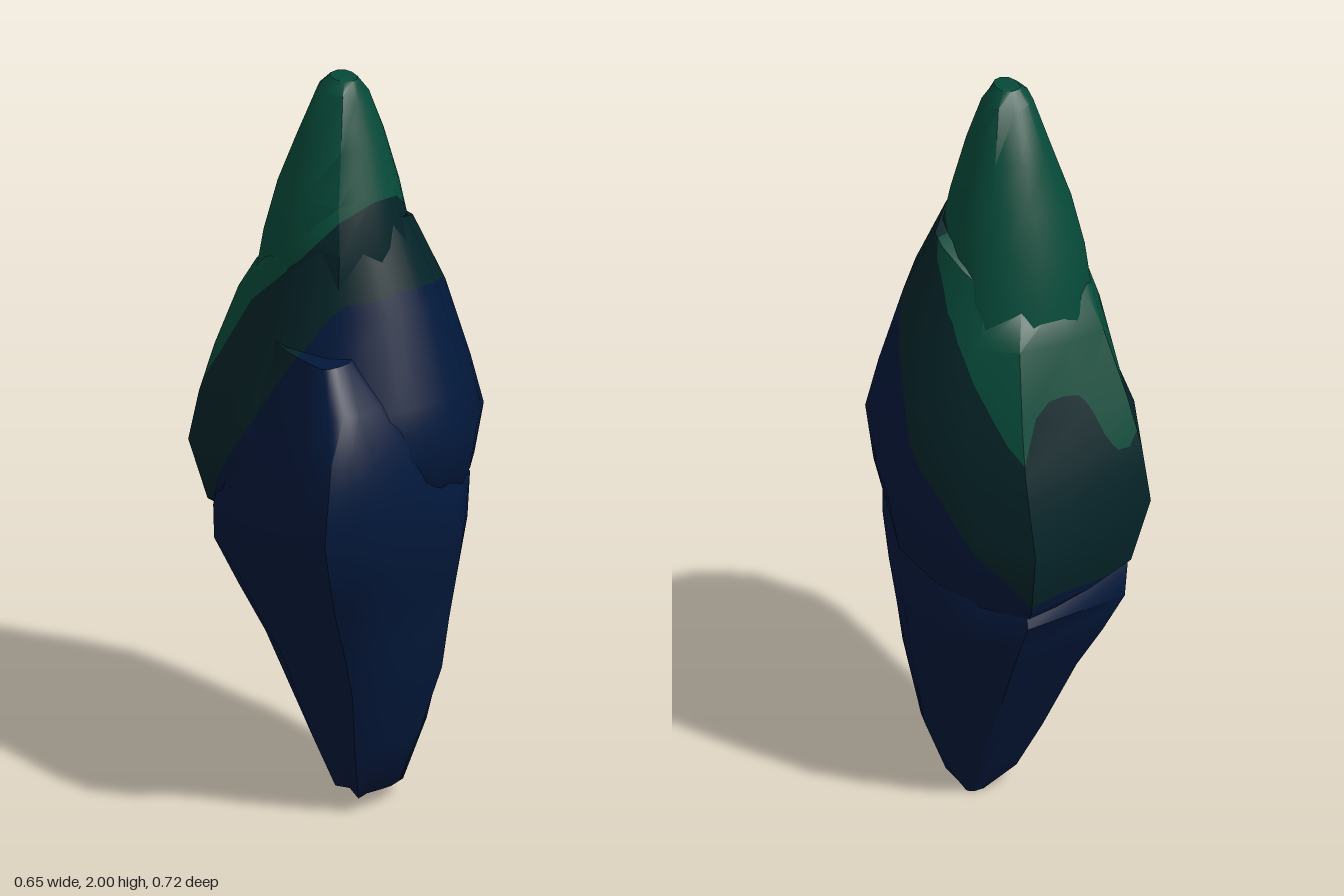
import * as THREE from 'three';
import { toCreasedNormals } from 'three/addons/utils/BufferGeometryUtils.js';

// Irregular unit outlines (x, z), used for every cross-section of a chunk
const LOWER = [[-0.65, -1], [0.45, -1], [0.78, -0.6], [0.95, -0.2], [1, 0.2], [0.88, 0.55], [0.5, 0.88],
  [0.1, 1], [-0.4, 1], [-0.75, 0.95], [-0.97, 0.82], [-1, 0.4], [-0.94, -0.4]];
const UPPER = [[-0.68, -0.98], [-0.2, -1], [0.45, -0.98], [0.76, -0.62], [0.95, -0.22], [1, 0.25], [0.9, 0.55],
  [0.5, 0.88], [0.1, 1], [-0.45, 0.9], [-0.85, 0.55], [-1, 0.1], [-0.95, -0.5]];
const SPIRE = [[-0.35, -1], [0.35, -1], [0.88, -0.66], [1, -0.1], [0.85, 0.58], [0.4, 0.94], [-0.15, 1],
  [-0.75, 0.75], [-1, 0.05], [-0.8, -0.7]];

// Each ring: y, xMin, xMax, zMin, zMax, then optional rise of y along x and along z
const CHUNKS = [
  { name: 'lowerRock', outline: LOWER, rings: [
    [0, 0.07, 0.12, 0, 0.03], [0.05, -0.03, 0.15, -0.03, 0.115], [0.2, -0.08, 0.21, -0.1, 0.168],
    [0.4, -0.138, 0.25, -0.2, 0.237], [0.52, -0.18, 0.27, -0.263, 0.264], [0.64, -0.228, 0.295, -0.318, 0.29],
    [0.76, -0.278, 0.29, -0.27, 0.328], [0.9, -0.325, 0.27, -0.2, 0.35], [1.1, -0.295, 0.1, -0.12, 0.335],
    [1.22, -0.265, 0, -0.05, 0.285], [1.33, -0.235, -0.1, 0, 0.215]] },
  { name: 'upperRock', outline: UPPER, rings: [
    [0.78, -0.18, 0.25, -0.28, 0.22, -0.4, 0.35], [0.82, -0.23, 0.295, -0.338, 0.28, -0.3, 0.3],
    [0.95, -0.285, 0.318, -0.36, 0.34, -0.15, 0.15], [1.08, -0.28, 0.325, -0.325, 0.362],
    [1.2, -0.245, 0.295, -0.29, 0.325], [1.4, -0.2, 0.245, -0.24, 0.26, 0, 0.1],
    [1.56, -0.165, 0.182, -0.19, 0.168, 0, 0.5], [1.58, -0.1, 0.1, -0.1, 0.1, 0, 0.5]] },
  { name: 'spire', outline: SPIRE, rings: [
    [1.2, -0.15, 0.18, -0.22, 0.12], [1.42, -0.185, 0.19, -0.215, 0.2], [1.58, -0.17, 0.16, -0.185, 0.193],
    [1.71, -0.14, 0.138, -0.148, 0.155], [1.84, -0.1, 0.1, -0.105, 0.118], [1.96, -0.06, 0.06, -0.05, 0.08],
    [2, -0.03, 0.03, -0.02, 0.055]] },
];

// Colour boundaries: both slope down towards the back
const mossLine = (x, y, z) => y - Math.min(1.48, 1.24 + 1.5 * z) + 1.2 * x * x;
const greenLine = (x, y, z) => {
  const notch = z < -0.15 ? 0.11 * Math.exp(-(((x - 0.03) / 0.11) ** 4)) : 0;
  const sideRise = x < -0.17 ? (-0.17 - x) * 2.5 : 0;
  return y - (1.5 + 1.33 * z + notch + sideRise);
};

function makeRandom(seed) {
  return () => {
    seed = (seed * 16807) % 2147483647;
    return seed / 2147483647;
  };
}

// Closed loft through the rings, with slightly chipped corners
function loft(outline, rings, random) {
  const n = outline.length;
  const points = rings.map(([y, x0, x1, z0, z1, riseX = 0, riseZ = 0], r) => outline.map(([u, v]) => {
    const end = r === 0 || r === rings.length - 1;
    const chip = 1 + 0.02 * (random() - 0.5);
    const lift = end ? 0 : (random() - 0.5) * 0.03;
    const x = (x0 + x1 + u * chip * (x1 - x0)) / 2, z = (z0 + z1 + v * chip * (z1 - z0)) / 2;
    return [x, y + lift + riseX * x + riseZ * z, z];
  }));
  const centre = ([y, x0, x1, z0, z1]) => [(x0 + x1) / 2, y, (z0 + z1) / 2];
  const top = points.length - 1;
  const positions = [];
  const face = (...corners) => corners.forEach((c) => positions.push(...c));
  for (let i = 0; i < n; i++) {
    const j = (i + 1) % n;
    for (let r = 0; r < top; r++) {
      face(points[r][i], points[r + 1][i], points[r][j]);
      face(points[r + 1][i], points[r + 1][j], points[r][j]);
    }
    face(centre(rings[0]), points[0][i], points[0][j]);
    face(centre(rings[top]), points[top][j], points[top][i]);
  }
  const geometry = new THREE.BufferGeometry();
  geometry.setAttribute('position', new THREE.Float32BufferAttribute(positions, 3));
  return toCreasedNormals(geometry, 0.8);
}

const mix = (a, b, t) => a.map((value, i) => value + (b[i] - value) * t);

// Splits a triangle in four, repeatedly
function subdivide([a, b, c], depth) {
  if (depth === 0) return [[a, b, c]];
  const ab = mix(a, b, 0.5), bc = mix(b, c, 0.5), ca = mix(c, a, 0.5);
  return [[a, ab, ca], [ab, b, bc], [ca, bc, c], [ab, bc, ca]].flatMap((t) => subdivide(t, depth - 1));
}

// Keeps the part of a polygon where the field, times sign, is positive
function clip(polygon, field, sign) {
  const kept = [];
  polygon.forEach((a, i) => {
    const b = polygon[(i + 1) % polygon.length];
    const fa = sign * field(...a), fb = sign * field(...b);
    if (fa >= 0) kept.push(a);
    if ((fa >= 0) !== (fb >= 0)) kept.push(mix(a, b, fa / (fa - fb)));
  });
  return kept;
}

// Splits a chunk into its three colour bands, as geometry groups
function paintBands(geometry) {
  const p = geometry.attributes.position, m = geometry.attributes.normal;
  const bands = [[], [], []];
  const add = (band, polygon) => {
    for (let k = 1; k + 1 < polygon.length; k++) bands[band].push(polygon[0], polygon[k], polygon[k + 1]);
  };
  for (let i = 0; i < p.count; i += 3) {
    const triangle = [i, i + 1, i + 2].map((k) => [p.getX(k), p.getY(k), p.getZ(k), m.getX(k), m.getY(k), m.getZ(k)]);
    for (const piece of subdivide(triangle, 2)) {
      add(0, clip(piece, mossLine, -1));
      const above = clip(piece, mossLine, 1);
      add(1, clip(above, greenLine, -1));
      add(2, clip(above, greenLine, 1));
    }
  }
  const result = new THREE.BufferGeometry();
  const all = bands.flat();
  result.setAttribute('position', new THREE.Float32BufferAttribute(all.flatMap((v) => v.slice(0, 3)), 3));
  result.setAttribute('normal', new THREE.Float32BufferAttribute(all.flatMap((v) => v.slice(3)), 3));
  result.normalizeNormals();
  let start = 0;
  bands.forEach((band, index) => {
    if (band.length) result.addGroup(start, band.length, index);
    start += band.length;
  });
  return result;
}

export function createModel() {
  const materials = [['navy', 0x02183b], ['darkTeal', 0x042428], ['green', 0x064a39]].map(([name, color]) => {
    const material = new THREE.MeshStandardMaterial({ color });
    material.name = name;
    return material;
  });
  const model = new THREE.Group();
  model.name = 'crystalRock';
  const random = makeRandom(71);
  for (const { name, outline, rings } of CHUNKS) {
    const mesh = new THREE.Mesh(paintBands(loft(outline, rings, random)), materials);
    mesh.name = name;
    model.add(mesh);
  }
  return model;
}
